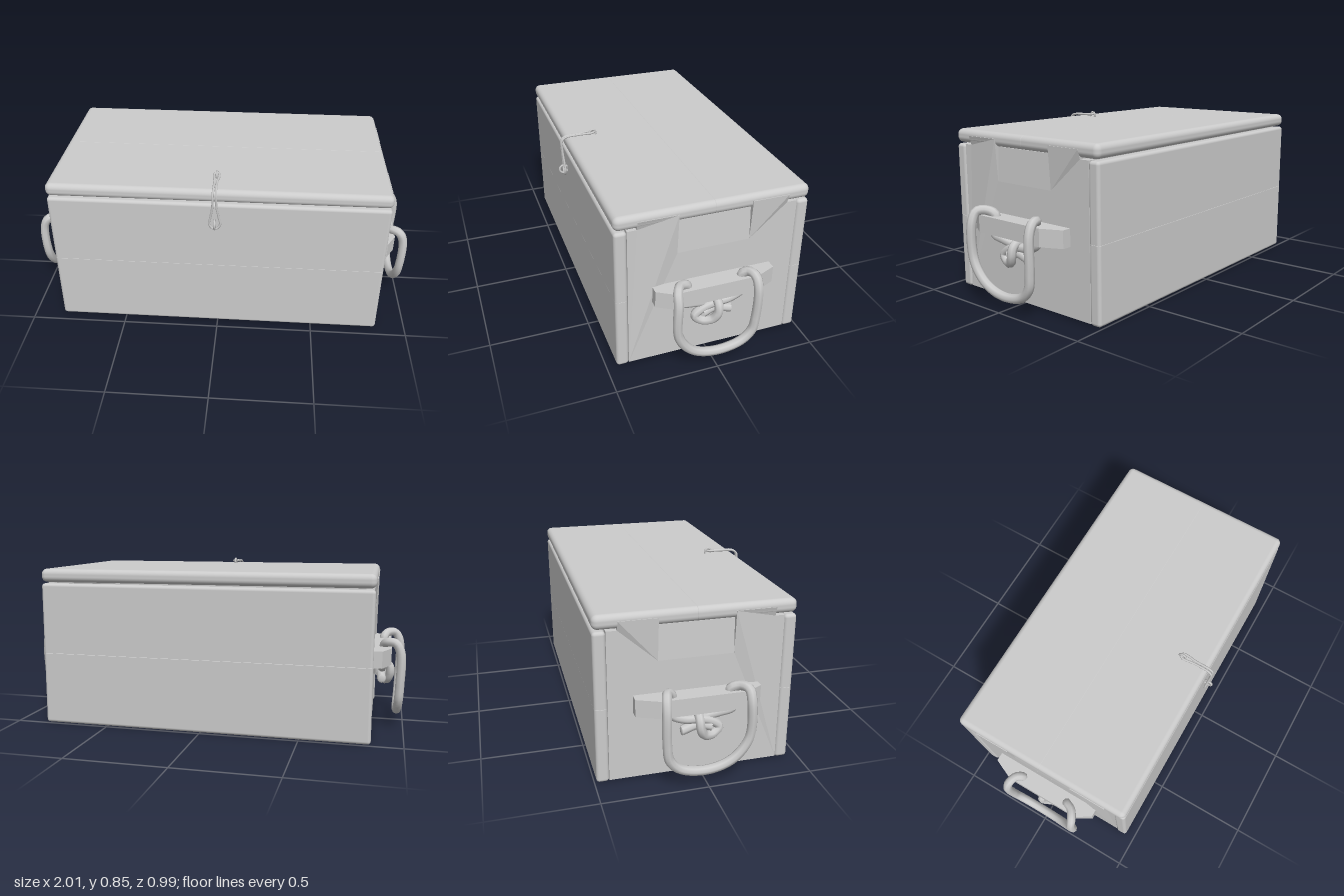
import * as THREE from 'three';
import { RoundedBoxGeometry } from 'three/addons/geometries/RoundedBoxGeometry.js';

const material = new THREE.MeshStandardMaterial({ color: 0xcccccc });
const vec = (p) => new THREE.Vector3(...p);

function add(group, name, geometry) {
  const mesh = new THREE.Mesh(geometry, material);
  mesh.name = name;
  group.add(mesh);
  return mesh;
}

// Rounded plank between two corners; the face named by axis and side stays square
function plank(min, max, radius, axis, side) {
  const lo = vec(min), hi = vec(max);
  const limit = side > 0 ? hi[axis] : lo[axis];
  if (side > 0) hi[axis] += radius;
  else lo[axis] -= radius;
  const size = hi.clone().sub(lo), mid = hi.clone().add(lo).multiplyScalar(0.5);
  const geometry = new RoundedBoxGeometry(size.x, size.y, size.z, 4, radius);
  geometry.translate(mid.x, mid.y, mid.z);
  const pos = geometry.attributes.position, k = 'xyz'.indexOf(axis);
  for (let i = 0; i < pos.count; i++) {
    const v = pos.getComponent(i, k);
    pos.setComponent(i, k, side > 0 ? Math.min(v, limit) : Math.max(v, limit));
  }
  return geometry;
}

function tube(points, radius, closed = false, sides = 8) {
  const curve = new THREE.CatmullRomCurve3(points.map(vec), closed, 'centripetal');
  return new THREE.TubeGeometry(curve, points.length * 5, radius, sides, closed);
}

function polygon(points) {
  return new THREE.Shape(points.map(([x, y]) => new THREE.Vector2(x, y)));
}

// End wall with two raised, slightly flared tabs that lock into the lid
function endWall(s) {
  const outline = polygon([
    [0.39, 0.005], [0.39, 0.74], [0.345, 0.74], [0.345, 0.785], [0.155, 0.785], [0.155, 0.58],
    [-0.2, 0.58], [-0.2, 0.785], [-0.38, 0.785], [-0.38, 0.74], [-0.43, 0.74], [-0.43, 0.005],
  ]);
  const geometry = new THREE.ExtrudeGeometry(outline, { depth: 0.04, bevelEnabled: false });
  geometry.rotateY(-Math.PI / 2).translate(s * 0.82 + 0.02, 0, 0);
  const pos = geometry.attributes.position;
  for (let i = 0; i < pos.count; i++) {
    if (pos.getY(i) > 0.75) pos.setX(i, pos.getX(i) + s * 0.014);
  }
  geometry.computeVertexNormals();
  return geometry;
}

function makeEnd(s) {
  const end = new THREE.Group();
  end.name = s > 0 ? 'leftEnd' : 'rightEnd';
  const side = (points) => points.map(([x, y, z]) => [s * x, y, z]);

  add(end, 'endWall', endWall(s));

  // Leaning insert between the tabs
  const insert = add(end, 'endInsert', new THREE.BoxGeometry(0.03, 0.168, 0.355));
  insert.position.set(s * 0.82, 0.662, -0.0225);
  insert.rotation.z = s * 0.06;

  // Bar with chamfered ends that holds the rope
  const barShape = polygon([
    [0.835, 0.275], [0.885, 0.275], [0.93, 0.2], [0.93, -0.21], [0.885, -0.315], [0.835, -0.315],
  ].map(([x, z]) => [s * x, -z]));
  const bar = new THREE.ExtrudeGeometry(barShape, { depth: 0.085, bevelEnabled: false });
  add(end, 'handleBar', bar.rotateX(-Math.PI / 2).translate(0, 0.34, 0));

  // Hanging rope loop
  add(end, 'ropeHandle', tube(side([
    [0.89, 0.37, 0.125], [0.89, 0.43, 0.125], [0.91, 0.45, 0.165], [0.95, 0.447, 0.192],
    [0.975, 0.4, 0.197], [0.976, 0.22, 0.194], [0.972, 0.13, 0.14], [0.967, 0.085, 0.07],
    [0.965, 0.07, -0.03], [0.967, 0.095, -0.13], [0.972, 0.15, -0.18], [0.976, 0.23, -0.193],
    [0.975, 0.4, -0.195], [0.95, 0.447, -0.19], [0.91, 0.45, -0.175], [0.89, 0.43, -0.15],
    [0.89, 0.37, -0.145],
  ]), 0.023));

  // Knot under the bar, with its free end
  add(end, 'knotLoop', tube(side([
    [0.89, 0.38, -0.15], [0.885, 0.33, -0.15], [0.885, 0.3, -0.09], [0.885, 0.293, -0.02],
    [0.885, 0.275, 0.04], [0.885, 0.24, 0.078], [0.895, 0.212, 0.045], [0.915, 0.222, 0],
    [0.928, 0.26, -0.022], [0.922, 0.3, -0.026], [0.895, 0.318, -0.025], [0.868, 0.295, -0.025],
    [0.862, 0.25, -0.02],
  ]), 0.022));
  add(end, 'knotStrand', tube(side([
    [0.89, 0.38, 0.14], [0.885, 0.33, 0.14], [0.88, 0.312, 0.08], [0.87, 0.295, 0.02],
    [0.865, 0.28, -0.02],
  ]), 0.021));
  const tail = [[0.89, 0.25, 0.04], [0.88, 0.262, -0.02], [0.885, 0.243, -0.1]];
  add(end, 'ropeTail', tube(side(tail), 0.023));
  const tip = add(end, 'ropeTip', new THREE.SphereGeometry(0.023, 8, 6));
  tip.position.set(s * 0.885, 0.243, -0.1);
  tip.scale.z = 0.3;
  return end;
}

export function createModel() {
  const model = new THREE.Group();
  model.name = 'chest';

  // Front and back walls, two planks each
  for (const [name, z0, z1] of [['front', 0.39, 0.45], ['back', -0.49, -0.43]]) {
    add(model, name + 'LowerPlank', plank([-0.846, 0, z0], [0.846, 0.373, z1], 0.016, 'y', 1));
    add(model, name + 'UpperPlank', plank([-0.846, 0.375, z0], [0.846, 0.74, z1], 0.016, 'y', -1));
  }

  // Floor
  const floor = add(model, 'floor', new THREE.BoxGeometry(1.61, 0.03, 0.83));
  floor.position.set(0, 0.022, -0.02);

  // Lid, two planks meeting at a fine seam
  add(model, 'lidFrontPlank', plank([-0.85, 0.747, -0.019], [0.85, 0.815, 0.45], 0.028, 'z', -1));
  add(model, 'lidBackPlank', plank([-0.85, 0.747, -0.49], [0.85, 0.815, -0.022], 0.028, 'z', 1));

  model.add(makeEnd(1), makeEnd(-1));

  // Wire latch: a long loop from an eye on the lid to an eye on the front wall
  const latch = new THREE.Group();
  latch.name = 'latch';
  latch.position.x = -0.01;
  const half = [
    [0.012, 0.83, 0.305], [0.007, 0.827, 0.38], [0.007, 0.822, 0.45], [0.008, 0.805, 0.471],
    [0.01, 0.74, 0.472], [0.02, 0.68, 0.468], [0.027, 0.635, 0.466],
  ];
  const mirrored = half.map(([x, y, z]) => [-x, y, z]).reverse();
  add(latch, 'latchLoop', tube([[0, 0.832, 0.295], ...half, [0, 0.608, 0.466], ...mirrored], 0.006, true, 6));
  const lidEye = add(latch, 'lidEye', new THREE.TorusGeometry(0.017, 0.006, 6, 12));
  lidEye.position.set(0, 0.825, 0.305);
  lidEye.rotation.y = Math.PI / 2;
  const wallEye = add(latch, 'wallEye', new THREE.TorusGeometry(0.022, 0.006, 6, 12));
  wallEye.position.set(0, 0.64, 0.47);
  wallEye.rotation.y = Math.PI / 2;
  model.add(latch);

  return model;
}
